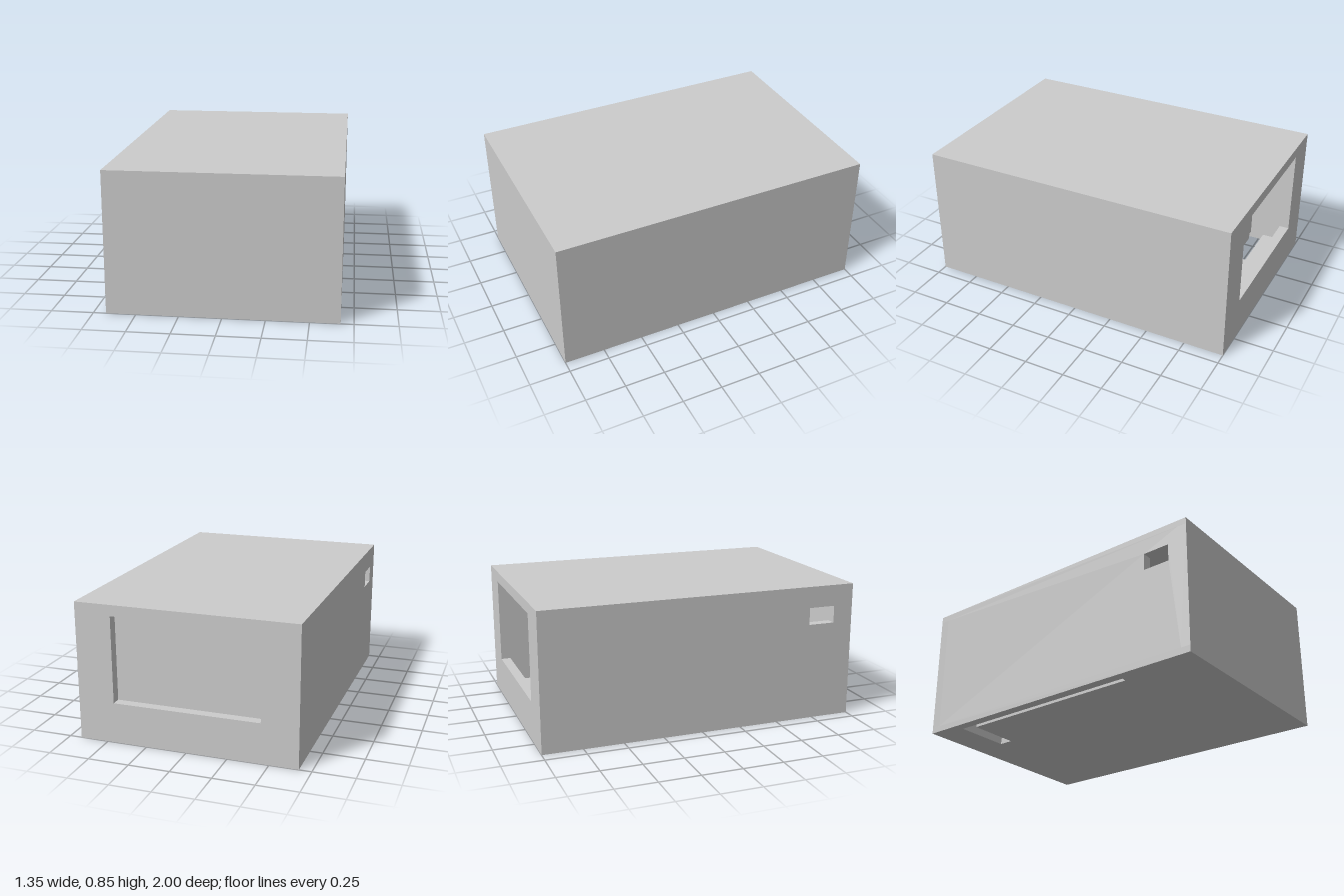
import * as THREE from 'three';

const W = 0.675, H = 0.85, L = 1;      // half width, height, half length
const WALL = 0.06, SLAB = 0.04;        // side wall and floor/roof thickness

export function createModel() {
  const model = new THREE.Group();
  model.name = 'hollowCase';
  const material = new THREE.MeshStandardMaterial({ color: 0xcccccc });

  const rect = (a0, b0, a1, b1) => [[a0, b0], [a1, b0], [a1, b1], [a0, b1]];
  const vectors = (points) => points.map(([a, b]) => new THREE.Vector2(a, b));

  // flat panel with an optional cut-out, extruded to its thickness
  function panel(name, outline, depth, position, rotation = [0, 0, 0], hole = null) {
    const shape = new THREE.Shape(vectors(outline));
    if (hole) shape.holes.push(new THREE.Path(vectors(hole)));
    const geometry = new THREE.ExtrudeGeometry(shape, { depth, bevelEnabled: false });
    const mesh = new THREE.Mesh(geometry, material);
    mesh.name = name;
    mesh.rotation.set(...rotation);
    mesh.position.set(...position);
    model.add(mesh);
  }

  const lay = [Math.PI / 2, 0, 0];       // shape (x, z), thickness downward
  const turn = [0, -Math.PI / 2, 0];     // shape (z, y), thickness toward -x
  const inX = W - WALL, inZ = L - WALL;
  const endWall = rect(-W, SLAB, W, H - SLAB);
  const sideWall = rect(-inZ, SLAB, inZ, H - SLAB);

  // roof, and floor with the L-shaped cable cut
  panel('roof', rect(-W, -L, W, L), SLAB, [0, H, 0], lay);
  const cableCut = [
    [-inX, -0.78], [-0.265, -0.78], [-0.265, -0.69],
    [-0.585, -0.69], [-0.585, 0.5], [-inX, 0.5],
  ];
  panel('floor', rect(-W, -L, W, L), SLAB, [0, SLAB, 0], lay, cableCut);

  // front wall, and back wall with the large window
  panel('frontWall', endWall, WALL, [0, 0, inZ]);
  panel('backWall', endWall, WALL, [0, 0, -L], [0, 0, 0], rect(-0.451, 0.25, 0.451, 0.783));

  // side walls, the right one with a small port
  panel('leftWall', sideWall, WALL, [W, 0, 0], turn);
  panel('rightWall', sideWall, WALL, [-inX, 0, 0], turn, rect(0.705, 0.61, 0.874, 0.717));

  // inner wall behind the window
  panel('partition', rect(-inX, SLAB, inX, H - SLAB), WALL, [0, 0, -0.69]);

  return model;
}
